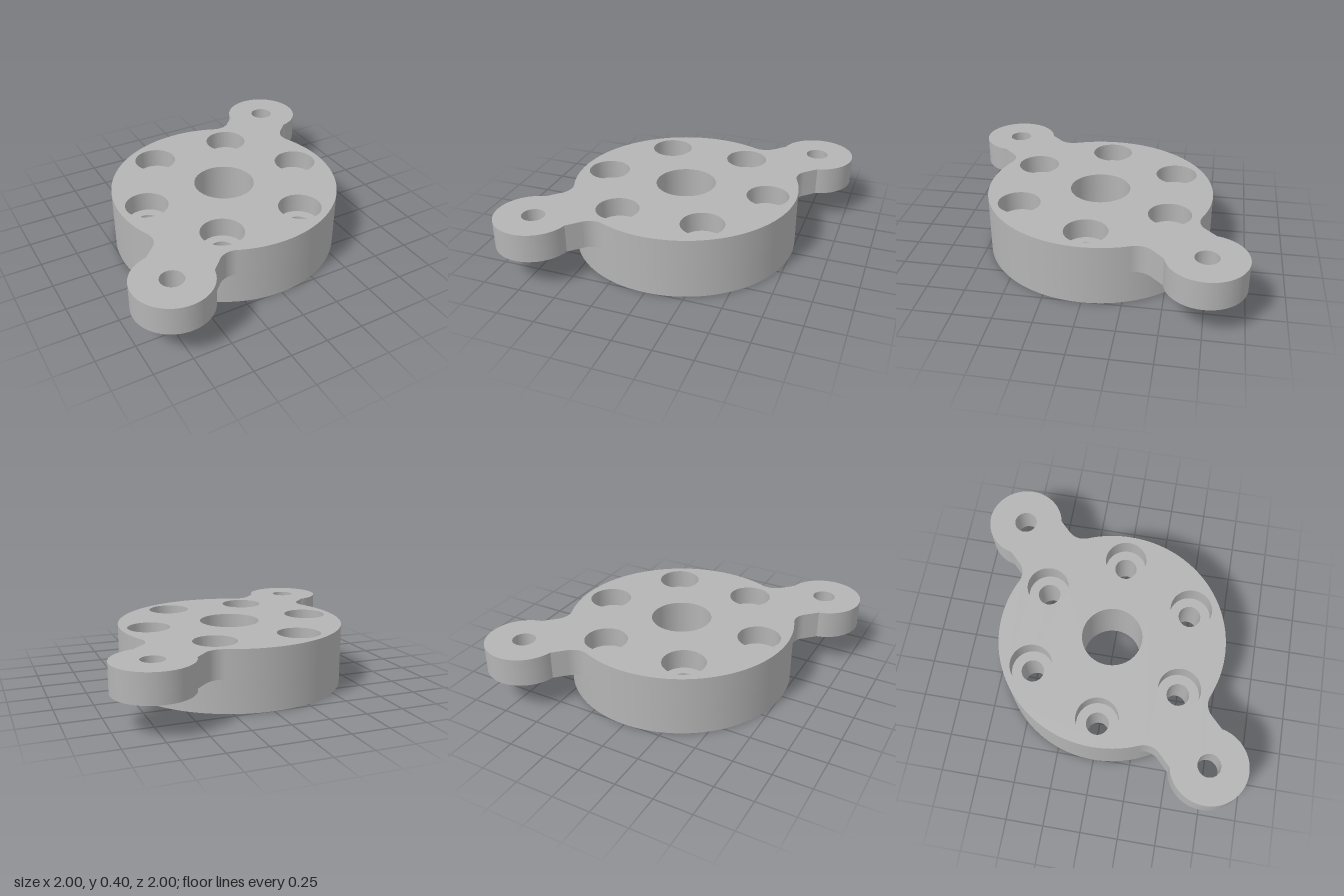
import * as THREE from 'three';
import { toCreasedNormals } from 'three/addons/utils/BufferGeometryUtils.js';

const R = 0.757;          // hub radius
const EAR_R = 0.252;      // lug radius
const EAR_D = 1.058;      // lug distance from the centre
const NECK = 0.21;        // half width of the lug neck
const FILLET = 0.12;      // fillet between neck and hub
const HOLE_R = 0.075;
const BORE_R = 0.201;
const SINK_R = 0.14;
const Y_FLANGE = 0.216, Y_SINK = 0.273, Y_TOP = 0.404;

function addHole(shape, x, y, r) {
  const hole = new THREE.Path();
  hole.absarc(x, y, r, 0, Math.PI * 2, true);
  shape.holes.push(hole);
}

// Centre bore and the ring of six bolt holes
function addHubHoles(shape, r) {
  addHole(shape, 0, 0, BORE_R);
  for (let i = 0; i < 6; i++) {
    const a = (i * Math.PI) / 3;
    addHole(shape, 0.57 * Math.cos(a), 0.57 * Math.sin(a), r);
  }
}

function discShape() {
  const s = new THREE.Shape();
  s.absarc(0, 0, R, 0, Math.PI * 2, false);
  addHubHoles(s, HOLE_R);
  return s;
}

// Disc with two opposite lugs, joined by straight necks and fillets
function flangeShape(boltR) {
  const s = new THREE.Shape();
  const v = NECK + FILLET;
  const u = Math.sqrt((R + FILLET) ** 2 - v * v);
  const beta = Math.atan2(v, u);
  const gamma = Math.asin(NECK / EAR_R);
  for (const A of [Math.PI / 4, Math.PI * 1.25]) {
    const c = Math.cos(A), d = Math.sin(A);
    const arc = (x, y, r, a0, a1, cw) =>
      s.absarc(x * c - y * d, x * d + y * c, r, a0 + A, a1 + A, cw);
    arc(u, -v, FILLET, Math.PI - beta, Math.PI / 2, true);
    arc(EAR_D, 0, EAR_R, gamma - Math.PI, Math.PI - gamma, false);
    arc(u, v, FILLET, -Math.PI / 2, beta - Math.PI, true);
    arc(0, 0, R, beta, Math.PI - beta, false);
  }
  s.closePath();
  addHubHoles(s, boltR);
  for (const k of [1, -1]) addHole(s, k * 0.748, k * 0.748, HOLE_R);
  return s;
}

export function createModel() {
  const group = new THREE.Group();
  const grey = new THREE.MeshStandardMaterial({ color: 0xb4b4b4 });
  grey.name = 'plain grey';

  const addLayer = (name, shape, y0, y1) => {
    const geo = new THREE.ExtrudeGeometry(shape, {
      depth: y1 - y0, bevelEnabled: false, curveSegments: 56,
    });
    geo.rotateX(-Math.PI / 2);
    geo.translate(0, y0, 0);
    const mesh = new THREE.Mesh(toCreasedNormals(geo, 0.5), grey);
    mesh.name = name;
    group.add(mesh);
  };

  addLayer('hubBase', discShape(), 0, Y_FLANGE);
  addLayer('flangeLower', flangeShape(HOLE_R), Y_FLANGE, Y_SINK);
  // Upper layer carries the wide counterbores
  addLayer('flangeUpper', flangeShape(SINK_R), Y_SINK, Y_TOP);
  return group;
}
